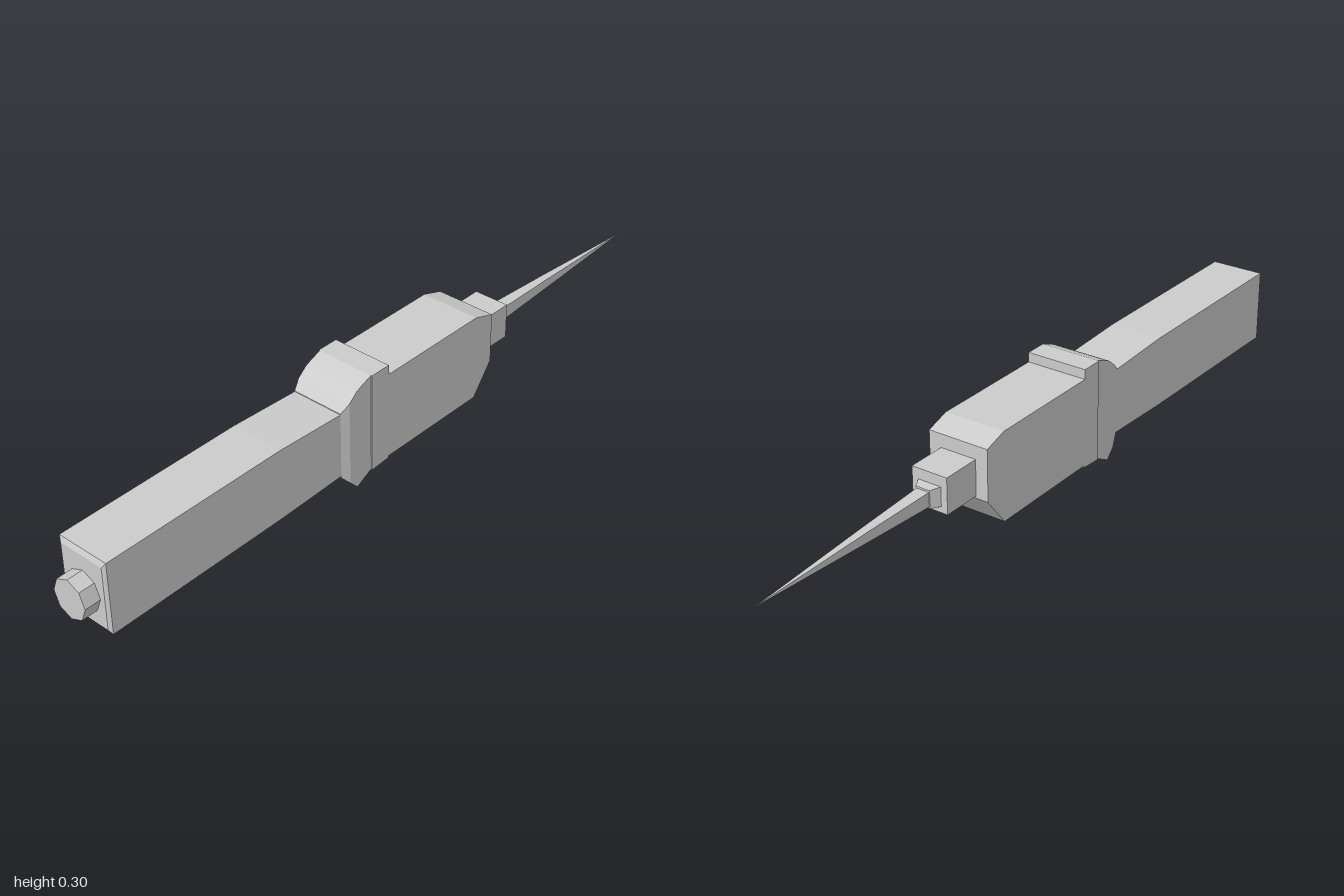
import * as THREE from 'three';

const material = new THREE.MeshStandardMaterial({ color: 0xcccccc, flatShading: true });

// Rectangular loft along z: sections are [z, halfWidth, bottomY, topY], front to back
function loft(sections) {
  const pos = [];
  const rings = sections.map(([z, w, y0, y1]) => [[w, y0, z], [w, y1, z], [-w, y1, z], [-w, y0, z]]);
  const quad = (a, b, c, d) => pos.push(...a, ...b, ...c, ...a, ...c, ...d);
  const first = rings[0], last = rings[rings.length - 1];
  quad(...first);
  for (let k = 0; k < rings.length - 1; k++) {
    for (let i = 0; i < 4; i++) {
      const j = (i + 1) % 4;
      quad(rings[k][i], rings[k + 1][i], rings[k + 1][j], rings[k][j]);
    }
  }
  quad(last[3], last[2], last[1], last[0]);
  const geometry = new THREE.BufferGeometry();
  geometry.setAttribute('position', new THREE.Float32BufferAttribute(pos, 3));
  geometry.computeVertexNormals();
  return geometry;
}

// Side profile of [z, y] points extruded symmetrically across x
function slab(points, halfWidth) {
  const shape = new THREE.Shape(points.map(([z, y]) => new THREE.Vector2(z, y)));
  const geometry = new THREE.ExtrudeGeometry(shape, { depth: halfWidth * 2, bevelEnabled: false });
  return geometry.translate(0, 0, -halfWidth).rotateY(-Math.PI / 2);
}

export function createModel() {
  const model = new THREE.Group();
  const add = (name, geometry) => {
    const mesh = new THREE.Mesh(geometry, material);
    mesh.name = name;
    model.add(mesh);
  };

  // Long square grip with a small bevel round the end
  add('handle', loft([
    [0.957, 0.064, 0.06, 0.233],
    [0.951, 0.073, 0.05, 0.246],
    [0.43, 0.073, 0.052, 0.246],
    [0.21, 0.073, 0.058, 0.235],
  ]));

  // Eight-sided end button
  const button = new THREE.CylinderGeometry(1, 1, 0.05, 8).rotateX(Math.PI / 2);
  add('endButton', button.scale(0.05, 0.054, 1).translate(0, 0.138, 0.975));

  // Flared guard between grip and body
  add('collar', loft([
    [0.228, 0.073, 0.052, 0.238],
    [0.205, 0.081, 0.028, 0.259],
    [0.18, 0.081, 0.002, 0.28],
    [0.165, 0.081, 0.01, 0.287],
    [0.13, 0.081, 0.028, 0.3],
  ]));

  // Main body with raised rib and chamfered back end
  add('body', slab([
    [0.13, 0.026], [0.13, 0.3], [0.07, 0.3], [0.07, 0.274], [-0.26, 0.274],
    [-0.323, 0.254], [-0.323, 0.116], [-0.26, 0.035], [0.07, 0.035], [0.07, 0.03],
  ].reverse(), 0.084));

  // Square holder, tapered seat and needle
  add('needleHolder', loft([[-0.31, 0.05, 0.122, 0.218], [-0.43, 0.05, 0.122, 0.218]]));
  add('needleSeat', loft([[-0.425, 0.035, 0.138, 0.19], [-0.455, 0.02, 0.14, 0.187]]));
  add('needle', loft([
    [-0.45, 0.018, 0.144, 0.182],
    [-0.66, 0.011, 0.15, 0.176],
    [-1, 0.0005, 0.1615, 0.1625],
  ]));

  return model;
}
